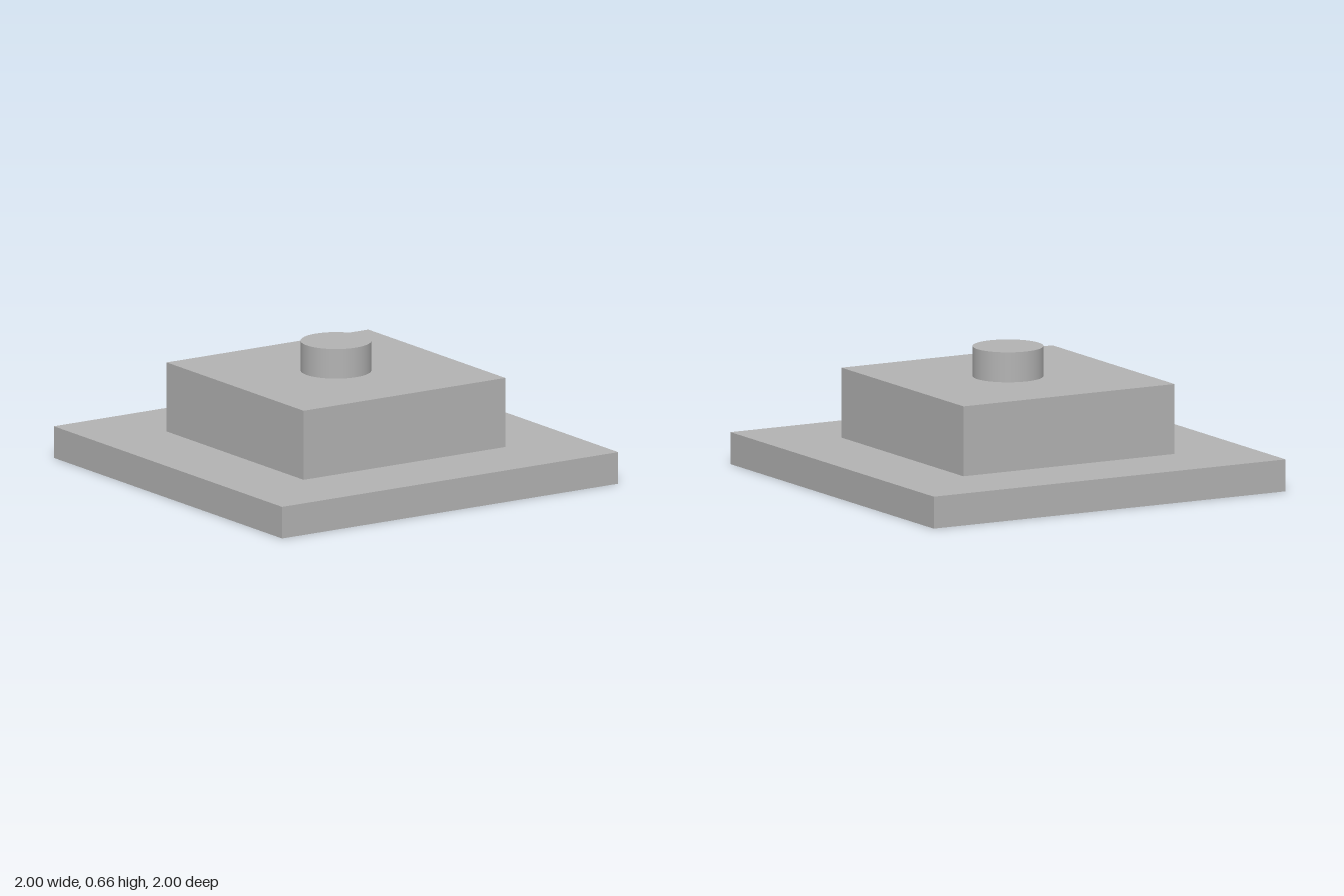
import * as THREE from 'three';

export function createModel() {
  const model = new THREE.Group();
  model.name = 'steppedPedestal';

  const grey = new THREE.MeshStandardMaterial({ color: 0xb3b3b3 });
  grey.name = 'grey';

  // Each part stands on top of the one before it
  let top = 0;
  const stack = (name, geometry, height) => {
    const mesh = new THREE.Mesh(geometry, grey);
    mesh.name = name;
    mesh.position.y = top + height / 2;
    top += height;
    model.add(mesh);
  };

  // Wide square plate
  stack('basePlate', new THREE.BoxGeometry(2, 0.16, 2), 0.16);
  // Smaller square block
  stack('block', new THREE.BoxGeometry(1.2, 0.35, 1.2), 0.35);
  // Round knob
  stack('knob', new THREE.CylinderGeometry(0.175, 0.175, 0.15, 64), 0.15);

  return model;
}
